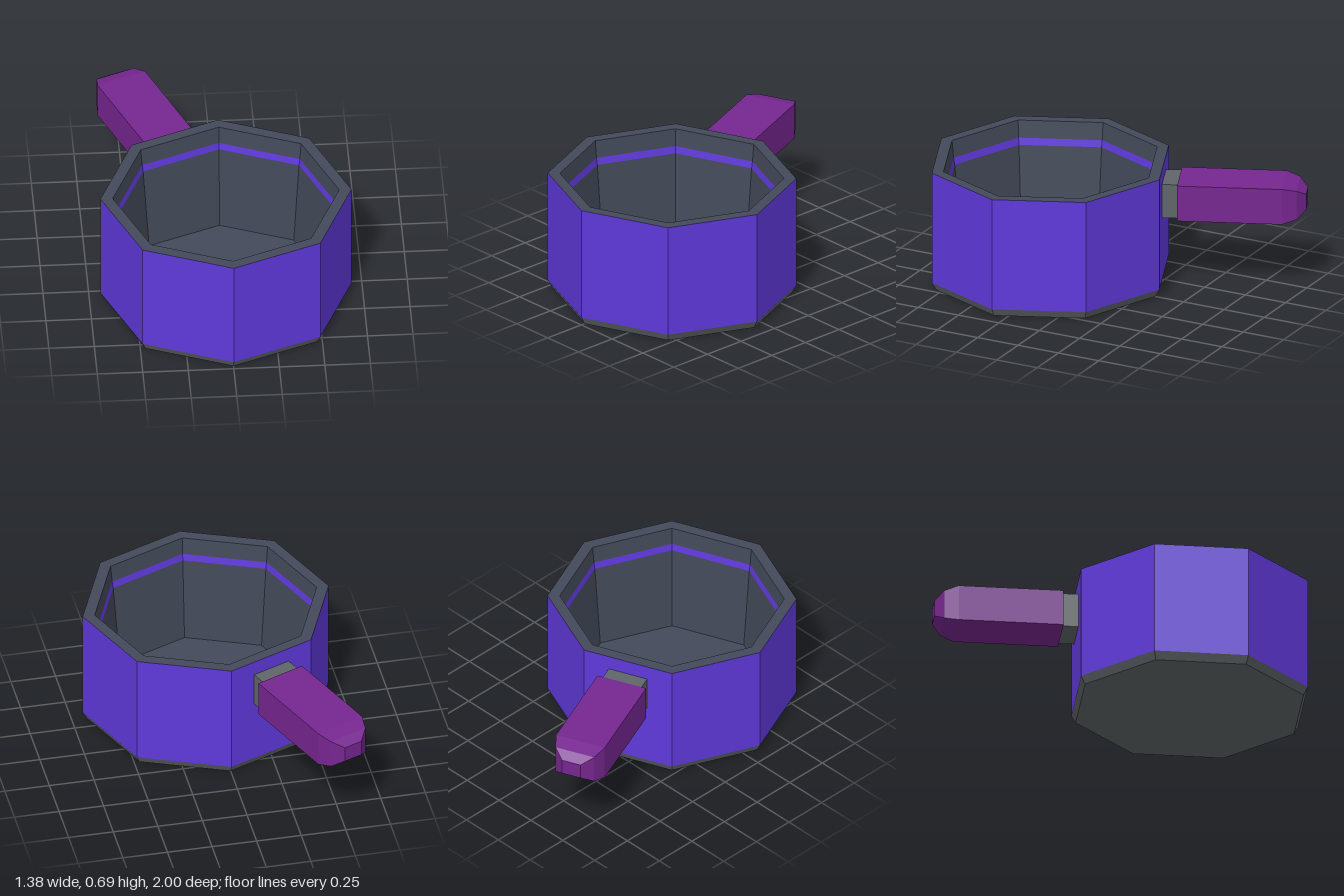
import * as THREE from 'three';

const mat = (name, color, side = THREE.FrontSide) => {
  const m = new THREE.MeshStandardMaterial({ color, side });
  m.name = name;
  return m;
};

// Split shared vertices so every facet is flat
function flat(geometry) {
  const g = geometry.index ? geometry.toNonIndexed() : geometry;
  g.computeVertexNormals();
  return g;
}

function part(name, geometry, material) {
  const mesh = new THREE.Mesh(flat(geometry), material);
  mesh.name = name;
  return mesh;
}

// Eight-sided shell from [radius, height] pairs
const octagon = (profile) =>
  new THREE.LatheGeometry(profile.map(([r, y]) => new THREE.Vector2(r, y)), 8);

// Loft of rectangles [half width, half height, z], capped at both ends
function loft(sections) {
  const pos = [], index = [];
  for (const [w, h, z] of sections) pos.push(-w, -h, z, w, -h, z, w, h, z, -w, h, z);
  for (let s = 0; s < sections.length - 1; s++) {
    for (let i = 0; i < 4; i++) {
      const a = s * 4 + i, b = s * 4 + (i + 1) % 4;
      index.push(a, b, b + 4, a, b + 4, a + 4);
    }
  }
  const e = (sections.length - 1) * 4;
  index.push(0, 2, 1, 0, 3, 2, e, e + 1, e + 2, e, e + 2, e + 3);
  const g = new THREE.BufferGeometry();
  g.setAttribute('position', new THREE.Float32BufferAttribute(pos, 3));
  g.setIndex(index);
  return g;
}

export function createModel() {
  const violet = mat('violet enamel', 0x5f38da);
  const slate = mat('slate interior', 0x434959);
  const steel = mat('steel grey', 0x5f6568);
  const plum = mat('plum grip', 0x762690);

  const model = new THREE.Group();
  model.name = 'saucepan';

  // Pot: closed profile running from the base, up the outside and down the inside
  const pot = new THREE.Group();
  pot.name = 'pot';
  pot.position.z = 0.325;
  pot.scale.z = 0.978;
  pot.add(
    part('base', octagon([[0, 0], [0.665, 0], [0.69, 0.045]]), steel),
    part('outerWall', octagon([[0.69, 0.045], [0.69, 0.69]]), violet),
    part('rim', octagon([[0.69, 0.69], [0.622, 0.69], [0.612, 0.59]]), slate),
    part('innerStripe', octagon([[0.612, 0.59], [0.605, 0.55]]), violet),
    part('interior', octagon([[0.605, 0.55], [0.562, 0.06], [0, 0.06]]), slate),
  );
  model.add(pot);

  // Handle: leaves the middle of a back wall facet, local +z points outward
  const handle = new THREE.Group();
  handle.name = 'handle';
  handle.position.set(-0.244, 0.508, -0.251);
  handle.rotation.y = Math.PI * 9 / 8;
  handle.add(
    part('handleBracket', loft([[0.115, 0.098, -0.02], [0.115, 0.098, 0.1]]), steel),
    part('grip', loft([
      [0.145, 0.103, 0.085],
      [0.145, 0.103, 0.663],
      [0.115, 0.083, 0.74],
      [0.055, 0.045, 0.788],
    ]), plum),
  );
  model.add(handle);

  return model;
}
